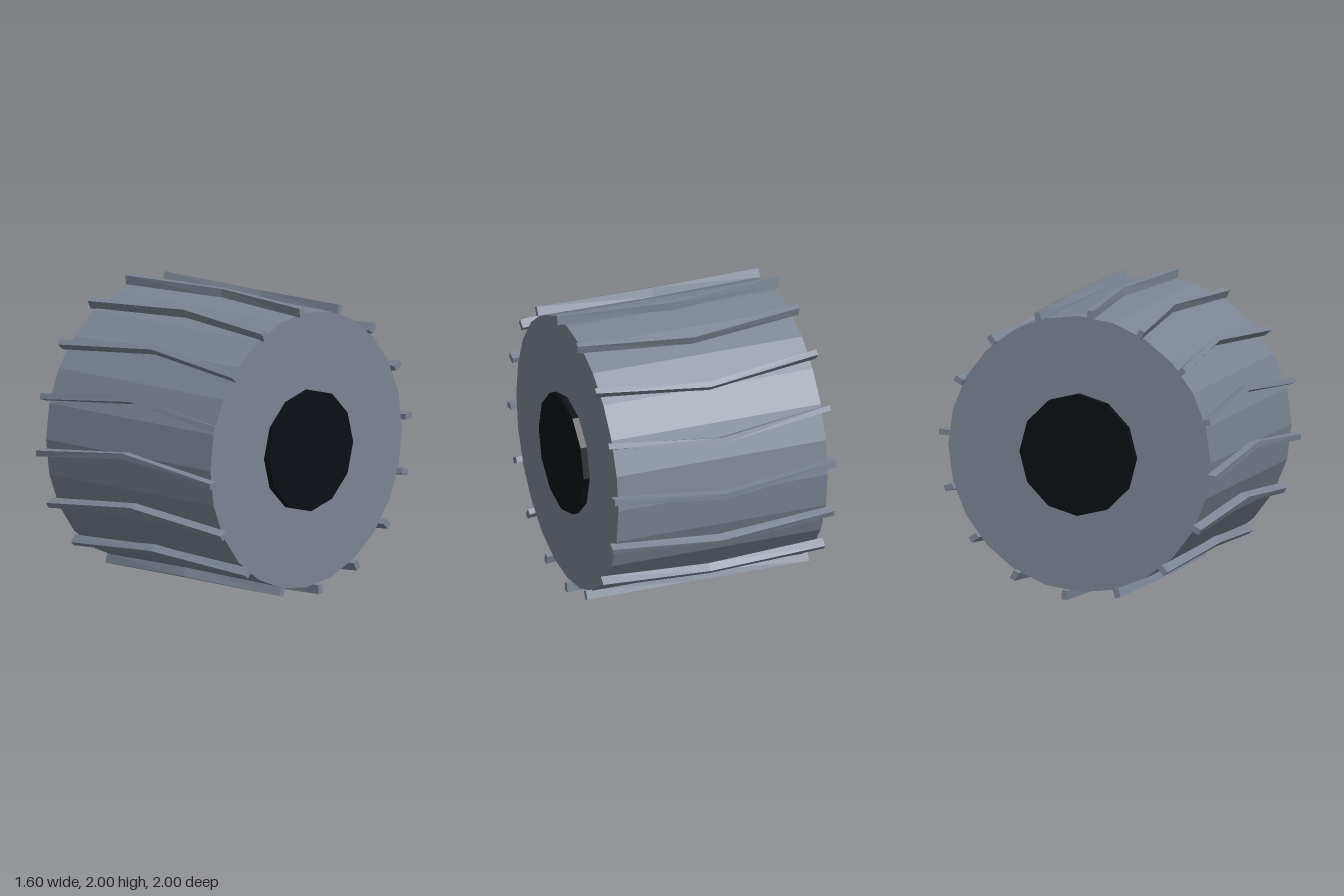
import * as THREE from 'three';

const grey = new THREE.MeshStandardMaterial({ color: 0x7c8494, flatShading: true });
const dark = new THREE.MeshStandardMaterial({ color: 0x0b0f14, flatShading: true });

// Cylinder lying along the x axis
function axle(name, radius, width, sides, material) {
  const geometry = new THREE.CylinderGeometry(radius, radius, width, sides).rotateZ(Math.PI / 2);
  const mesh = new THREE.Mesh(geometry, material);
  mesh.name = name;
  return mesh;
}

// Chevron tread bar on the front of the wheel, its ends swung down around the axle
function treadGeometry() {
  const halfWidth = 0.8, drop = 0.095, half = 0.02, inner = 0.937;
  const shape = new THREE.Shape([
    [-halfWidth, -drop - half], [0, -half], [halfWidth, -drop - half],
    [halfWidth, -drop + half], [0, half], [-halfWidth, -drop + half],
  ].map(([x, y]) => new THREE.Vector2(x, y)));
  const geometry = new THREE.ExtrudeGeometry(shape, { depth: 1 - inner, bevelEnabled: false })
    .translate(0, 0, inner);
  const position = geometry.attributes.position;
  const axis = new THREE.Vector3(1, 0, 0);
  const v = new THREE.Vector3();
  for (let i = 0; i < position.count; i++) {
    v.fromBufferAttribute(position, i);
    const swing = drop * Math.abs(v.x) / halfWidth;
    v.y += swing;
    v.applyAxisAngle(axis, swing);
    position.setXYZ(i, v.x, v.y, v.z);
  }
  geometry.computeVertexNormals();
  return geometry;
}

export function createModel() {
  const model = new THREE.Group();
  model.name = 'wheel';

  // Tyre drum and the hub standing out of both sides
  const drum = axle('tyre', 0.945, 1.51, 24, grey);
  const hub = axle('hub', 0.416, 1.6, 12, dark);

  // Ring of tread bars
  const treads = new THREE.Group();
  treads.name = 'treads';
  const geometry = treadGeometry();
  const count = 16;
  for (let i = 0; i < count; i++) {
    const bar = new THREE.Mesh(geometry, grey);
    bar.name = 'treadBar';
    bar.rotation.x = (i / count) * Math.PI * 2;
    treads.add(bar);
  }

  const wheel = new THREE.Group();
  wheel.name = 'wheelAssembly';
  wheel.add(drum, hub, treads);
  wheel.position.y = 1;
  model.add(wheel);
  return model;
}
